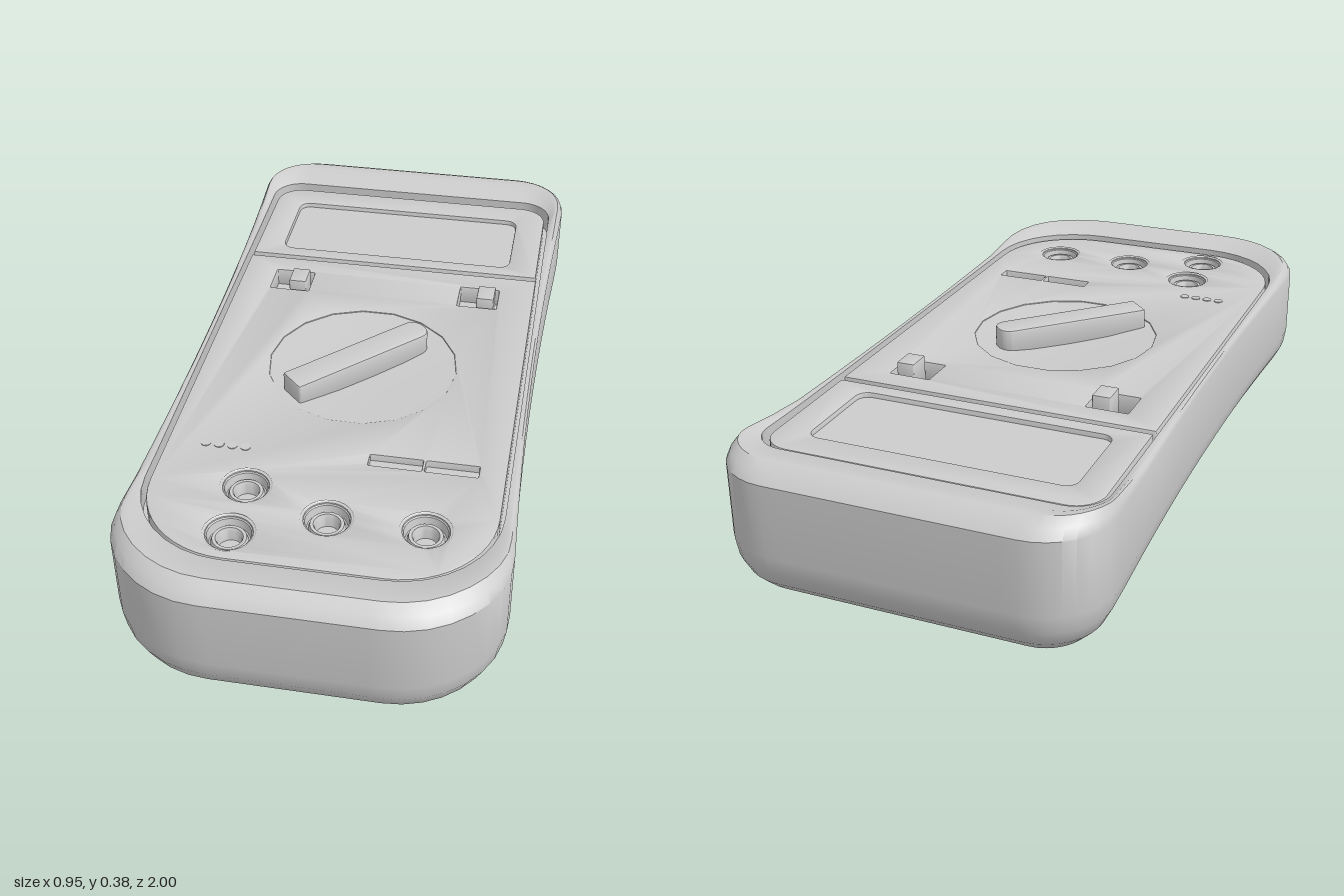
import * as THREE from 'three';
import { toCreasedNormals } from 'three/addons/utils/BufferGeometryUtils.js';

const material = new THREE.MeshStandardMaterial({ color: 0xcccccc });
const openMaterial = new THREE.MeshStandardMaterial({ color: 0xcccccc, side: THREE.DoubleSide });
const FACE = 0.336; // height of the control face
const FLOOR = 0.285; // bottom of the tray under the face plates

// Rounded rectangle on the ground plane as [x, z], counterclockwise from above
function outline(x0, x1, zBack, zFront, rBack, rFront, arc = 8, edge = 1) {
  const corners = [
    [x1 - rBack, zBack + rBack, rBack], [x0 + rBack, zBack + rBack, rBack],
    [x0 + rFront, zFront - rFront, rFront], [x1 - rFront, zFront - rFront, rFront],
  ];
  const points = [];
  corners.forEach(([cx, cz, r], k) => {
    for (let i = 0; i <= arc; i++) {
      const a = (k + i / arc) * Math.PI / 2;
      points.push([cx + r * Math.cos(a), cz - r * Math.sin(a)]);
    }
    // subdivide the straight side up to the next corner
    const [nx, nz, nr] = corners[(k + 1) % 4];
    const a = (k + 1) * Math.PI / 2;
    const end = [nx + nr * Math.cos(a), nz - nr * Math.sin(a)];
    const start = points[points.length - 1];
    for (let i = 1; i < edge; i++) {
      points.push([0, 1].map(n => start[n] + (end[n] - start[n]) * i / edge));
    }
  });
  return points;
}

function loft(rings) {
  const n = rings[0].length, index = [];
  for (let i = 0; i < rings.length - 1; i++) {
    for (let j = 0; j < n; j++) {
      const a = i * n + j, b = i * n + (j + 1) % n;
      index.push(a, b, a + n, b, b + n, a + n);
    }
  }
  const geometry = new THREE.BufferGeometry();
  geometry.setAttribute('position', new THREE.Float32BufferAttribute(rings.flat(2), 3));
  geometry.setIndex(index);
  return toCreasedNormals(geometry, 0.6);
}

const toPath = (points, Type = THREE.Path) => new Type(points.map(([x, z]) => new THREE.Vector2(x, -z)));
const rect = (x0, x1, z0, z1, r = 0.003) => outline(x0, x1, z0, z1, r, r, 4);
const circle = (x, z, r, n) => Array.from({ length: n }, (_, i) => {
  const a = i / n * Math.PI * 2;
  return [x + r * Math.cos(a), z - r * Math.sin(a)];
});

// Plate standing from y0 to y1 with a small bevel on its edges
function plate(points, y0, y1, bevel, holes = []) {
  const shape = toPath(points, THREE.Shape);
  shape.holes = holes.map(h => toPath(h));
  const geometry = new THREE.ExtrudeGeometry(shape, {
    depth: y1 - y0 - 2 * bevel, bevelEnabled: bevel > 0, bevelSize: bevel,
    bevelThickness: bevel, bevelOffset: -bevel, bevelSegments: 2,
  });
  geometry.rotateX(-Math.PI / 2).translate(0, y0 + bevel, 0);
  return toCreasedNormals(geometry, 0.5);
}

// Waisted case: rounded underside, upright wall, raised end rims and a tray
function caseGeometry() {
  const waist = z => 0.955 + 0.045 * Math.min(1, (z / 0.8) ** 2);
  const outer = inset => outline(-0.475 + inset, 0.475 - inset, -1 + inset, 1 - inset,
    0.165 - inset, 0.27 - inset, 8, 14).map(([x, z]) => [x * waist(z), z]);
  const inner = outline(-0.437, 0.437, -0.852, 0.865, 0.085, 0.25, 8, 14);
  const lift = z => 0.016 * Math.max(0, 1 - (z / 0.85) ** 2);
  const rise = z => THREE.MathUtils.smoothstep(Math.abs(z), 0.6, 0.95);
  const rings = [];

  const base = outer(0.145);
  rings.push(base.map(([, z]) => [0, lift(z), z]));
  for (let i = 0; i <= 5; i++) {
    const a = i / 5 * Math.PI / 2;
    rings.push(outer(0.145 * (1 - Math.sin(a)))
      .map(([x, z]) => [x, 0.145 * (1 - Math.cos(a)) + lift(z) * Math.cos(a), z]));
  }
  const wall = outer(0);
  // [blend from wall to tray edge, height, extra height at the ends]
  const rim = [[0, 0.328, 0.004], [0.14, 0.336, 0.018], [0.36, 0.341, 0.029],
    [0.55, 0.342, 0.025], [1, 0.341, 0.005]];
  for (const [t, y, extra] of rim) {
    rings.push(wall.map(([x, z], j) => [
      x + (inner[j][0] - x) * t, y + extra * rise(z), z + (inner[j][1] - z) * t,
    ]));
  }
  rings.push(inner.map(([x, z]) => [x, FLOOR, z]));
  rings.push(inner.map(([, z]) => [0, FLOOR, z]));
  return loft(rings);
}

export function createModel() {
  const model = new THREE.Group();
  const add = (name, geometry, x = 0, y = 0, z = 0, mat = material) => {
    const mesh = new THREE.Mesh(geometry, mat);
    mesh.name = name;
    mesh.position.set(x, y, z);
    model.add(mesh);
    return mesh;
  };

  add('case', caseGeometry());

  // Control face with openings for the dial, switches, slots and sockets
  const jacks = [[-0.19, 0.6], [-0.19, 0.765], [0.025, 0.68], [0.26, 0.68]];
  const switches = [-0.275, 0.27];
  const slots = [[0.085, 0.218], [0.226, 0.358]];
  const dial = [0, 0.065, 0.252];
  add('controlFace', plate(
    outline(-0.426, 0.426, -0.422, 0.85, 0.004, 0.238, 12), FLOOR - 0.01, FACE, 0.004, [
      circle(...dial, 18),
      ...switches.map(x => rect(x - 0.056, x + 0.056, -0.354, -0.258)),
      ...slots.map(([a, b]) => rect(a, b, 0.432, 0.472)),
      ...jacks.map(([x, z]) => circle(x, z, 0.056, 24)),
    ]));

  // Display frame and sunken window
  add('displayFrame', plate(outline(-0.424, 0.424, -0.832, -0.438, 0.075, 0.004),
    FLOOR - 0.01, FACE, 0.004, [rect(-0.343, 0.34, -0.75, -0.482, 0.03)]));
  add('displayWindow', plate(rect(-0.35, 0.35, -0.76, -0.475), FLOOR - 0.01, 0.322, 0));

  // Rotary selector: shallow dish with a pointer bar rounded at its tip
  const dish = [[0, 0.318], [0.12, 0.321], [0.256, 0.333]].map(p => new THREE.Vector2(...p));
  add('dialDish', new THREE.LatheGeometry(dish, 18).rotateY(Math.PI / 2), 0, 0, 0.065, openMaterial);
  const bar = outline(-0.04, 0.04, -0.215, 0.215, 0.034, 0.006);
  add('dialPointer', plate(bar, 0.3, 0.384, 0.006), -0.008, 0, 0.078).rotation.y = -Math.PI / 4;

  // Slide switches
  for (const x of switches) {
    add('switchSlider', plate(rect(x - 0.002, x + 0.047, -0.334, -0.268), FLOOR - 0.01, 0.359, 0.003));
  }

  // Floors of the fuse slots
  for (const [a, b] of slots) {
    add('slotFloor', plate(rect(a - 0.003, b + 0.003, 0.428, 0.476), FLOOR - 0.01, 0.316, 0));
  }

  // Sockets: countersunk ring around a deep hole
  const socket = [[0, 0.262], [0.027, 0.262], [0.029, 0.312], [0.033, 0.32], [0.041, 0.32],
    [0.045, 0.308], [0.049, 0.308], [0.053, 0.33], [0.064, 0.338]].map(p => new THREE.Vector2(...p));
  const socketGeometry = toCreasedNormals(new THREE.LatheGeometry(socket, 24), 0.6);
  for (const [x, z] of jacks) add('socket', socketGeometry, x, 0, z, openMaterial);

  // Row of indicator dots
  for (let i = 0; i < 4; i++) {
    add('indicatorDot', new THREE.CylinderGeometry(0.013, 0.013, 0.012, 12), -0.328 + i * 0.034, 0.332, 0.46);
  }
  return model;
}
